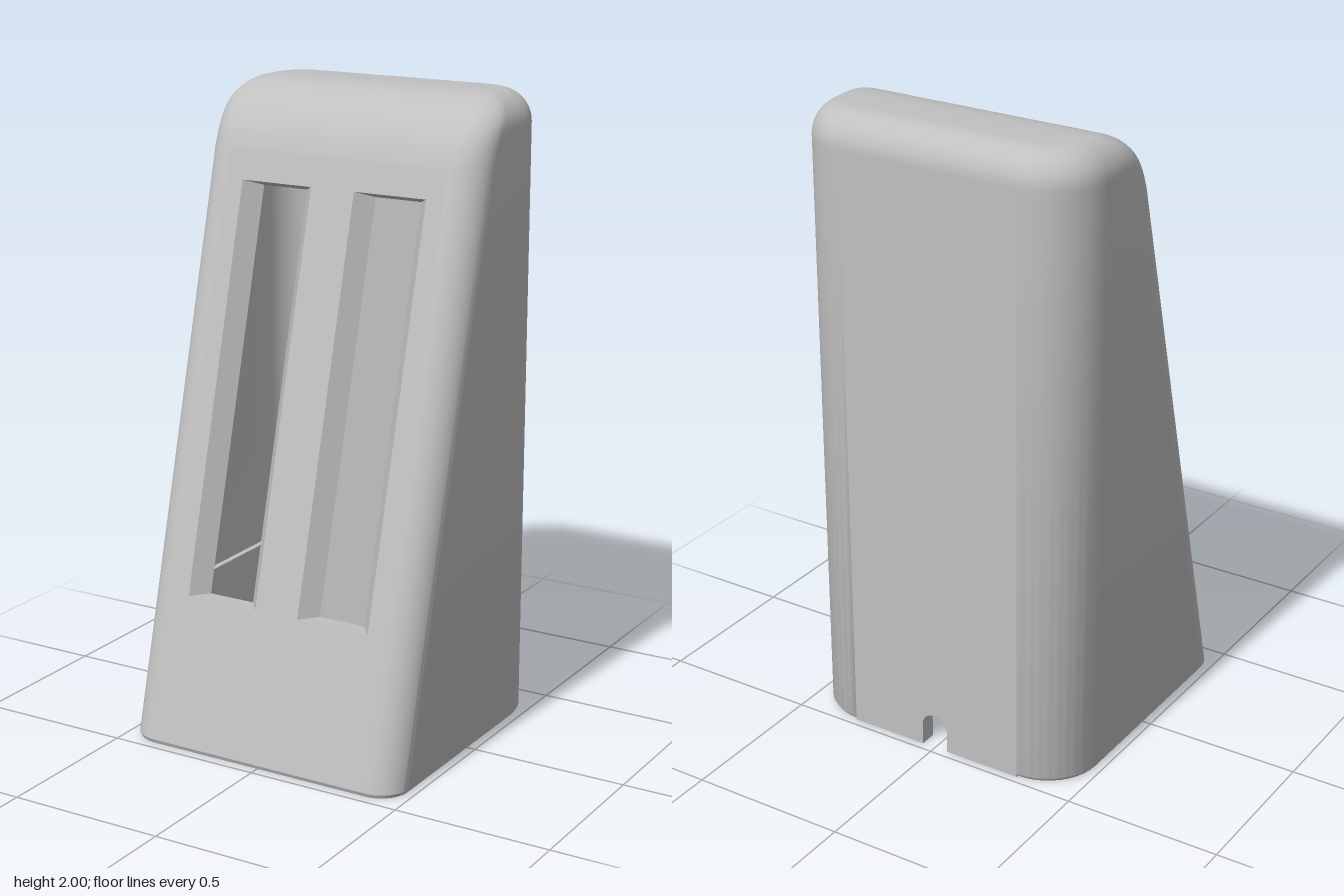
import * as THREE from 'three';
import { toCreasedNormals } from 'three/addons/utils/BufferGeometryUtils.js';

const WALL = 0.055, HALF = 0.48, BACK = -0.475;
const SLOPE = 0.264, COS = 0.967, SIN = 0.256;     // leaning front wall
const SIDE_R = 0.1, BACK_R = 0.18, FRONT_R = 0.1;  // corner radii
const TOP_Z = -0.26, TOP_Y = 1.734, TOP_R = 0.266; // big rounding above the front
const CHAMFER = 0.012, NOTCH = 0.045;

const frontZ = (y, off) => 0.475 - SLOPE * y - off / COS;
const frontTop = (off) => TOP_Y + SIN * (TOP_R - off);

// Horizontal rounded section at height y, from the back +x corner round to the back -x corner
function section(y, off, extra = 0) {
  const r = SIDE_R - off, R = TOP_R - off, up = Math.max(0, y - 1.9);
  const inset = r - Math.sqrt(Math.max(0, r * r - up * up)) + extra;
  const zf = (y > frontTop(off)
    ? TOP_Z + Math.sqrt(Math.max(0, R * R - (y - TOP_Y) ** 2))
    : frontZ(y, off)) - extra;
  const zb = BACK + off + inset, w = HALF - off - inset;
  const rb = BACK_R - off - inset, rf = Math.max(0.004, FRONT_R - off - inset);
  const half = [];
  for (const [r0, cz, a0] of [[rb, zb + rb, -90], [rf, zf - rf, 0]]) {
    for (let i = 0; i <= 10; i++) {
      const a = THREE.MathUtils.degToRad(a0 + i * 9);
      half.push([w - r0 + r0 * Math.cos(a), cz + r0 * Math.sin(a)]);
    }
  }
  return [...half, ...half.map(([x, z]) => [-x, z]).reverse()];
}

// Curved skin, leaving out the flat front and back panels
function skin(off, flip) {
  const yT = frontTop(off), ys = [0, CHAMFER, yT];
  for (let i = 1; i <= 5; i++) ys.push(yT + (1.9 - yT) * i / 5);
  for (let i = 1; i <= 10; i++) ys.push(1.9 + (SIDE_R - off) * Math.sin(i * Math.PI / 20));
  const rings = ys.map((y, k) => section(y, off, k === 0 && !flip ? 0.008 : 0)
    .map(([x, z]) => [x, y, z]));
  const pos = [];
  const tri = (a, b, c) => pos.push(...a, ...(flip ? c : b), ...(flip ? b : c));
  const n = rings[0].length;
  for (let k = 0; k < rings.length - 1; k++) {
    for (let i = 0; i < n; i++) {
      if (i === n - 1 && ys[k] < 1.8999) continue;
      if (i === n / 2 - 1 && k === 1) continue;
      const j = (i + 1) % n, lo = rings[k], hi = rings[k + 1];
      tri(lo[j], lo[i], hi[i]);
      tri(lo[j], hi[i], hi[j]);
    }
  }
  const top = rings[rings.length - 1], mid = [0, 2 - off, -0.32];
  for (let i = 0; i < n; i++) tri(mid, top[(i + 1) % n], top[i]);
  const g = new THREE.BufferGeometry();
  g.setAttribute('position', new THREE.Float32BufferAttribute(pos, 3));
  return toCreasedNormals(g, 0.6);
}

const polygon = (pts) => new THREE.Shape(pts.map(([x, y]) => new THREE.Vector2(x, y)));
const rect = (x0, y0, x1, y1) => polygon([[x0, y0], [x1, y0], [x1, y1], [x0, y1]]);

// Leaning front wall with two slots that narrow inwards
function frontPanel() {
  const yT = frontTop(0), w = HALF - FRONT_R;
  const shape = rect(-w, CHAMFER, w, yT);
  shape.holes.push(rect(0.075, 0.46, 0.32, 1.71), rect(-0.32, 0.46, -0.075, 1.71));
  const g = new THREE.ExtrudeGeometry(shape, { depth: 1, bevelEnabled: false });
  const p = g.attributes.position;
  for (let i = 0; i < p.count; i++) {
    let x = p.getX(i), y = p.getY(i);
    const inner = p.getZ(i) < 0.5;
    if (inner) {
      const ax = Math.abs(x);
      if (ax < 0.1) x = Math.sign(x) * 0.12;
      else if (ax < 0.35) x = Math.sign(x) * 0.275;
      if (y > 1.75) y = frontTop(WALL);
      else if (y > 1.7) y = 1.69;
    }
    p.setXYZ(i, x, y, frontZ(y, inner ? WALL : 0));
  }
  g.computeVertexNormals();
  return g;
}

// Upright back wall with a round-topped cable notch
function backPanel() {
  const w = HALF - BACK_R, s = new THREE.Shape();
  s.moveTo(-w, 0);
  s.lineTo(-NOTCH, 0);
  s.lineTo(-NOTCH, 0.07);
  s.absarc(0, 0.07, NOTCH, Math.PI, 0, true);
  s.lineTo(NOTCH, 0);
  s.lineTo(w, 0);
  s.lineTo(w, 1.9);
  s.lineTo(-w, 1.9);
  return new THREE.ExtrudeGeometry(s, { depth: WALL, bevelEnabled: false }).translate(0, 0, BACK);
}

const SCREWS = [[0.408, -0.403], [-0.408, -0.403], [0.431, 0.426], [-0.431, 0.426]];

// Bottom rim, open at the notch, with four screw holes
function rim() {
  const outer = section(0, 0, 0.008), inner = section(0, WALL);
  const zo = outer[0][1], zi = inner[0][1];
  const shape = polygon([[NOTCH, zo], ...outer, [-NOTCH, zo],
    [-NOTCH, zi], ...inner.reverse(), [NOTCH, zi]]);
  for (const [x, z] of SCREWS) {
    shape.holes.push(new THREE.Path().absarc(x, z, 0.015, 0, Math.PI * 2, true));
  }
  return new THREE.ShapeGeometry(shape).rotateX(Math.PI / 2);
}

export function createModel() {
  const group = new THREE.Group();
  const grey = new THREE.MeshStandardMaterial({ color: 0xc0c0c0, side: THREE.DoubleSide });
  grey.name = 'light grey';
  const add = (name, geometry) => {
    const mesh = new THREE.Mesh(geometry, grey);
    mesh.name = name;
    group.add(mesh);
    return mesh;
  };

  add('outerShell', skin(0, false));
  add('innerShell', skin(WALL, true));
  add('slottedFront', frontPanel());
  add('notchedBack', backPanel());
  add('bottomRim', rim());
  for (const [x, z] of SCREWS) {
    add('screwHole', new THREE.CylinderGeometry(0.015, 0.015, 0.06, 16, 1, true))
      .position.set(x, 0.03, z);
  }

  // Mounting pad and its front lip on the inside of the -x wall
  add('mountingPad', new THREE.BoxGeometry(0.02, 0.33, 0.62)).position.set(-0.416, 0.285, -0.05);
  add('mountingLip', new THREE.BoxGeometry(0.04, 0.33, 0.03)).position.set(-0.406, 0.285, 0.26);
  return group;
}
